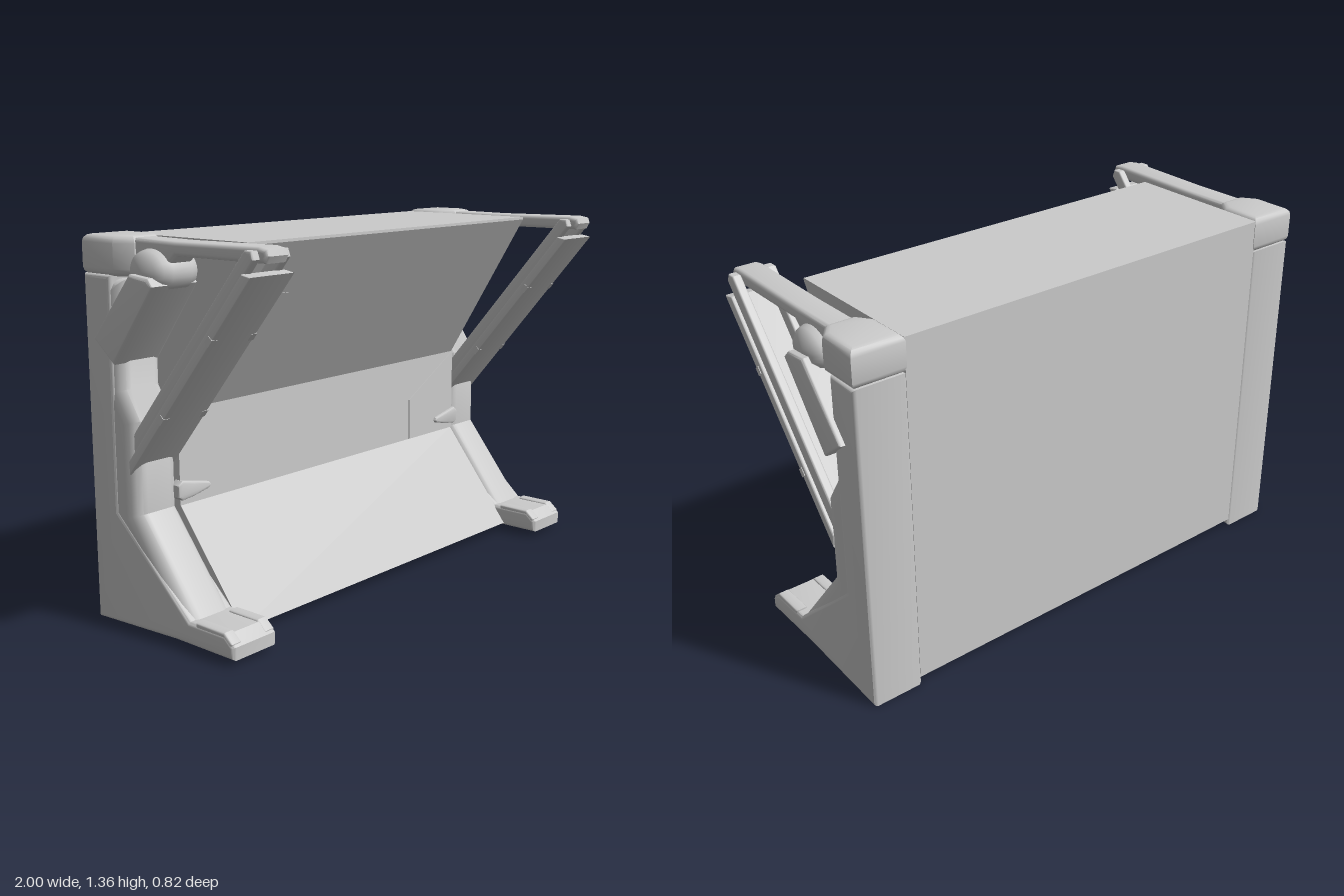
import * as THREE from 'three';
import { toCreasedNormals } from 'three/addons/utils/BufferGeometryUtils.js';

const material = new THREE.MeshStandardMaterial({ color: 0xcccccc });
const SIDE_X = 0.88;

const toShape = (pts) => new THREE.Shape(pts.map(([a, b]) => new THREE.Vector2(a, b)));

function addMesh(parent, name, geometry) {
  const mesh = new THREE.Mesh(geometry, material);
  mesh.name = name;
  parent.add(mesh);
  return mesh;
}

// Extrudes an outline, keeping its overall size when the edges are bevelled
function extrude(pts, depth, size = 0, thickness = size, segments = 3) {
  const g = new THREE.ExtrudeGeometry(toShape(pts), {
    depth: depth - 2 * thickness,
    bevelEnabled: size > 0,
    bevelSize: size,
    bevelThickness: thickness,
    bevelOffset: -size,
    bevelSegments: segments,
  });
  g.translate(0, 0, thickness - depth / 2);
  return size > 0 ? toCreasedNormals(g, 0.65) : g;
}

// Side profile in [z, y], extruded across x and centred at x
const profile = (pts, x, width, ...bevel) =>
  extrude(pts, width, ...bevel).rotateY(-Math.PI / 2).translate(x, 0, 0);

// Plan outline in [x, z], extruded upward between y0 and y1
const plan = (pts, y0, y1, ...bevel) =>
  extrude(pts.map(([x, z]) => [x, -z]), y1 - y0, ...bevel)
    .rotateX(-Math.PI / 2).translate(0, (y0 + y1) / 2, 0);

// Thin raised panel in [x, y], sheared onto a face whose depth is zAt(y)
function facePanel(pts, zAt) {
  const g = extrude(pts, 0.012);
  const p = g.attributes.position;
  for (let i = 0; i < p.count; i++) p.setZ(i, p.getZ(i) + zAt(p.getY(i)));
  g.computeVertexNormals();
  return g;
}

function createSide(s) {
  const side = new THREE.Group();
  side.name = s > 0 ? 'leftSupport' : 'rightSupport';
  const x = s * SIDE_X;

  // Upright post with its foot
  addMesh(side, 'post', profile([
    [-0.41, 0], [0, 0.02], [0.28, 0.02], [0.28, 0.065], [0.24, 0.1], [0.07, 0.1],
    [-0.275, 0.41], [-0.275, 1.225], [-0.41, 1.225],
  ], x, 0.198, 0.014));

  // Rounded ridge running up the front of the post
  addMesh(side, 'postRidge', profile([
    [-0.39, 0.04], [0.12, 0.04], [0.07, 0.11], [-0.175, 0.415], [-0.175, 0.74],
    [-0.24, 0.84], [-0.24, 1.21], [-0.39, 1.21],
  ], x, 0.19, 0.06, 0.045, 4));

  // Rounded cap on the post, narrowing toward the arm
  addMesh(side, 'postCap', plan([
    [x - 0.098, -0.41], [x + 0.098, -0.41], [x + 0.098, -0.25],
    [x + 0.055, -0.19], [x - 0.055, -0.19], [x - 0.098, -0.25],
  ], 1.22, 1.355, 0.025));

  // Arm reaching forward
  addMesh(side, 'arm', profile([
    [-0.3, 1.235], [-0.06, 1.245], [0, 1.3], [0.4, 1.302], [0.413, 1.325],
    [0.405, 1.346], [0.37, 1.352], [0, 1.347], [-0.3, 1.35],
  ], x, 0.1, 0.014));

  // Rounded pivot drum
  const drum = [[0, -0.095], [0.06, -0.092], [0.085, -0.07], [0.096, -0.04],
    [0.096, 0.04], [0.085, 0.07], [0.06, 0.092], [0, 0.095]];
  const pivot = addMesh(side, 'pivotDrum', toCreasedNormals(
    new THREE.LatheGeometry(drum.map(([r, y]) => new THREE.Vector2(r, y)), 28)
      .rotateZ(Math.PI / 2), 0.7));
  pivot.scale.y = 0.8;
  pivot.position.set(x, 1.245, -0.113);

  // Slanted block hanging from the pivot
  addMesh(side, 'slantedBlock', profile([
    [-0.035, 1.205], [-0.06, 1.23], [-0.15, 1.238], [-0.345, 1.01], [-0.245, 0.93],
  ], s * 0.9, 0.2, 0.01));

  // Pair of diagonal rails beside the arm tip
  for (const offset of [-0.066, 0.066]) {
    addMesh(side, 'diagonalRail', profile([
      [0.385, 1.315], [0.375, 1.342], [0.345, 1.342], [-0.275, 0.605], [-0.275, 0.523],
    ], x + offset, 0.034, 0.007));
  }

  // Wide plate on the front of the rails
  addMesh(side, 'diagonalPlate', profile([
    [0.388, 1.265], [0.345, 1.272], [-0.215, 0.6], [-0.21, 0.553],
  ], x, 0.192, 0.006));

  // Small clips on the plate's edges
  for (const [z, y] of [[0.197, 1.053], [-0.042, 0.768]]) {
    for (const offset of [-0.085, 0.085]) {
      const clip = addMesh(side, 'plateClip', new THREE.BoxGeometry(0.026, 0.03, 0.022));
      clip.position.set(x + offset, y, z);
      clip.rotation.x = 0.695;
    }
  }

  // Raised lips on both edges of the toe
  for (const offset of [-0.075, 0.075]) {
    addMesh(side, 'toeLip', profile([
      [0.1, 0.06], [0.27, 0.06], [0.272, 0.075], [0.235, 0.106], [0.1, 0.106],
    ], x + offset, 0.045, 0.008));
  }

  // Tapered lever pointing inward
  const lever = [[0.808, 0.487], [0.79, 0.502], [0.735, 0.49], [0.662, 0.474],
    [0.655, 0.463], [0.665, 0.453], [0.735, 0.438], [0.79, 0.432], [0.808, 0.445]];
  addMesh(side, 'lever', extrude(lever.map(([a, b]) => [s * a, b]), 0.045, 0.007)
    .translate(0, 0, -0.177));
  return side;
}

export function createModel() {
  const model = new THREE.Group();
  model.name = 'barrier';

  // Main body with a recessed, folded front
  addMesh(model, 'body', profile([
    [-0.408, 0.03], [0.125, 0.03], [-0.175, 0.41], [-0.175, 0.75],
    [0.18, 1.335], [0.18, 1.345], [-0.408, 1.345],
  ], 0, 1.572));

  // Shallow panels on the front faces
  addMesh(model, 'upperPanel', facePanel([
    [-0.785, 0.752], [-0.302, 0.752], [-0.31, 1.02], [-0.48, 1.15], [-0.785, 1.15],
  ], (y) => -0.175 + (y - 0.75) * 0.607));
  addMesh(model, 'middlePanel', facePanel([
    [0.49, 0.412], [0.785, 0.412], [0.785, 0.748], [0.49, 0.58],
  ], () => -0.175));

  model.add(createSide(1), createSide(-1));
  return model;
}
